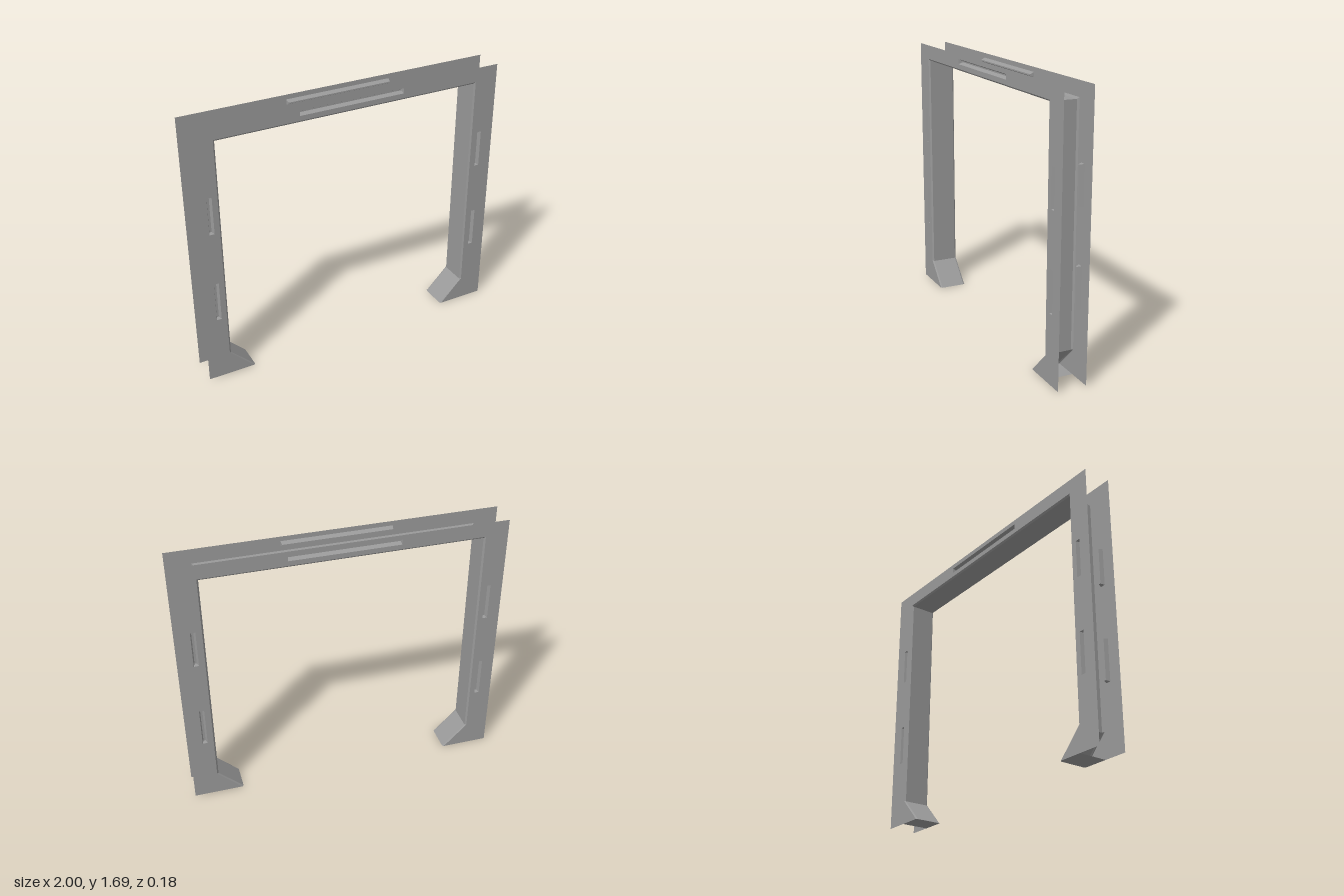
import * as THREE from 'three';

const material = new THREE.MeshStandardMaterial({ color: 0x999999, flatShading: true, side: THREE.DoubleSide });
const CX = -0.005;       // centre of the opening
const SLOT_CX = -0.003;  // centre of the slots
const FACE_Z = 0.089;    // plane of the front plate
const LINING_Z = 0.08;   // where the chamfer meets the lining
const SLOT_Z = 0.065;    // floor of the slots

// Slots: centre x, centre y, width, height
const slots = [[SLOT_CX, 1.643, 0.674, 0.032]];
for (const side of [-1, 1]) {
  slots.push([SLOT_CX + side * 0.904, 1.135, 0.031, 0.236]);
  slots.push([SLOT_CX + side * 0.904, 0.552, 0.031, 0.256]);
}

// Edge of the opening, from the left foot over the top to the right foot
function openingPath(inset) {
  const half = [[0.7 - inset, 0], [0.853 - inset, 0.155 - inset * 0.4], [0.853 - inset, 1.597 - inset]];
  return [
    ...half.map(([x, y]) => [CX - x, y]),
    ...half.reverse().map(([x, y]) => [CX + x, y]),
  ];
}

// Clockwise rectangle, so that lofted walls face inwards
function rectangle([x, y, w, h], insetX = 0, insetY = insetX) {
  const a = w / 2 - insetX, b = h / 2 - insetY;
  return [[x - a, y - b], [x - a, y + b], [x + a, y + b], [x + a, y - b]];
}

// Strip of quads between two outlines at different depths
function loft(from, z0, to, z1, closed = false, floor = false) {
  const n = from.length, positions = [], index = [];
  for (const [x, y] of from) positions.push(x, y, z0);
  for (const [x, y] of to) positions.push(x, y, z1);
  for (let i = 0; i < (closed ? n : n - 1); i++) {
    const j = (i + 1) % n;
    index.push(i, n + i, n + j, i, n + j, j);
  }
  if (floor) index.push(n, n + 2, n + 1, n, n + 3, n + 2);
  const geometry = new THREE.BufferGeometry();
  geometry.setAttribute('position', new THREE.Float32BufferAttribute(positions, 3));
  geometry.setIndex(index);
  geometry.computeVertexNormals();
  return geometry;
}

// Mirrored copy for the back, with the corner order reversed
function mirrorZ(geometry) {
  const copy = geometry.clone().scale(1, 1, -1);
  const ids = Array.from(copy.index.array);
  for (let i = 0; i < ids.length; i += 3) [ids[i], ids[i + 1]] = [ids[i + 1], ids[i]];
  copy.setIndex(ids);
  copy.computeVertexNormals();
  return copy;
}

function plateGeometry() {
  const toPoints = (list) => list.map(([x, y]) => new THREE.Vector2(x, y));
  const shape = new THREE.Shape(toPoints([...openingPath(0), [1, 0], [1, 1.688], [-1, 1.688], [-1, 0]]));
  for (const slot of slots) shape.holes.push(new THREE.Path(toPoints(rectangle(slot))));
  return new THREE.ShapeGeometry(shape).translate(0, 0, FACE_Z);
}

export function createModel() {
  const model = new THREE.Group();
  model.name = 'doorFrame';
  const add = (parent, name, geometry) => {
    const mesh = new THREE.Mesh(geometry, material);
    mesh.name = name;
    parent.add(mesh);
  };

  // Lining around the opening, open at the outside
  const inner = openingPath(0.01);
  add(model, 'openingLining', loft(inner, LINING_Z, inner, -LINING_Z));

  // Soles closing the sloped feet underneath
  for (const [name, side] of [['leftSole', 1], ['rightSole', -1]]) {
    const sole = new THREE.PlaneGeometry(0.155, 2 * FACE_Z).rotateX(Math.PI / 2);
    add(model, name, sole.translate(CX + side * 0.7725, 0, 0));
  }

  // Front and back: thin plate, chamfered edge and tapered slots
  for (const side of ['front', 'back']) {
    const group = new THREE.Group();
    group.name = side;
    const place = (geometry) => (side === 'front' ? geometry : mirrorZ(geometry));
    add(group, side + 'Plate', place(plateGeometry()));
    add(group, side + 'Chamfer', place(loft(openingPath(0), FACE_Z, inner, LINING_Z)));
    slots.forEach((slot, i) => {
      const wide = slot[2] > slot[3];
      const floor = rectangle(slot, wide ? 0.004 : 0.009, wide ? 0.012 : 0.004);
      add(group, side + 'Slot' + (i + 1), place(loft(rectangle(slot), FACE_Z, floor, SLOT_Z, true, true)));
    });
    model.add(group);
  }
  return model;
}
